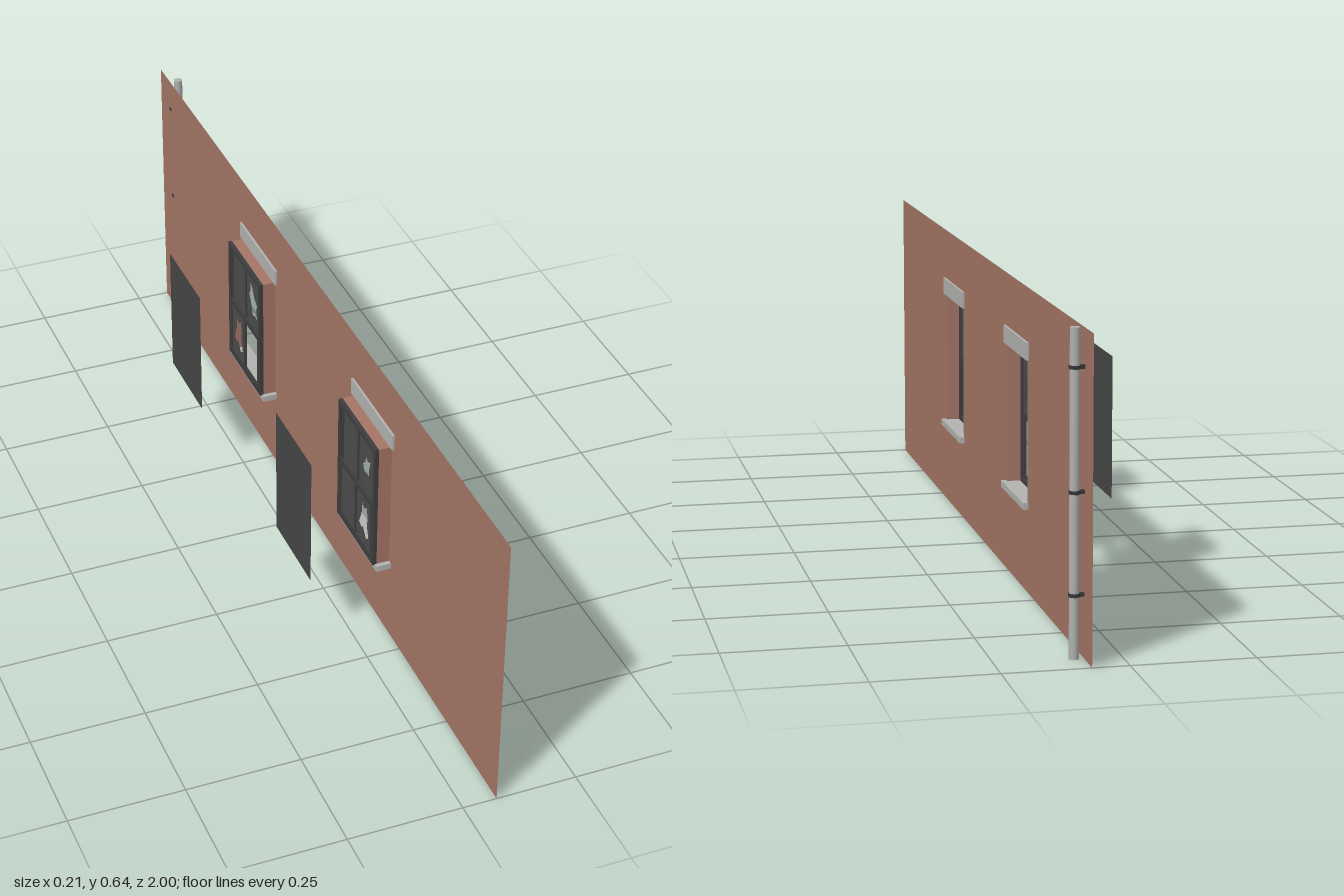
import * as THREE from 'three';

const mat = (name, color, side = THREE.FrontSide) => {
  const m = new THREE.MeshStandardMaterial({ color, side });
  m.name = name;
  return m;
};

export function createModel() {
  const brick = mat('brick', 0xa57566, THREE.DoubleSide);
  const stone = mat('stone', 0xb2b2b0);
  const metal = mat('pipe metal', 0xb0b0ae);
  const iron = mat('dark iron', 0x383838);
  const wood = mat('dark frame', 0x3e3e3e);
  const glass = mat('dirty glass', 0x4c4c4c, THREE.DoubleSide);
  const dark = mat('dark backing', 0x464646, THREE.DoubleSide);

  // Local frame: x runs along the wall, y up, z out of the wall; turned to face +x at the end.
  const facade = new THREE.Group();
  facade.name = 'facade';
  const WALL = 0.074, LOW = 0.19, HIGH = 0.49, HALF = 0.1, MID = 0.34;

  const add = (parent, name, geo, material, x = 0, y = 0, z = 0) => {
    const mesh = new THREE.Mesh(geo, material);
    mesh.name = name;
    mesh.position.set(x, y, z);
    parent.add(mesh);
    return mesh;
  };
  // Box given by its extents
  const block = (parent, name, material, x0, x1, y0, y1, z0, z1) =>
    add(parent, name, new THREE.BoxGeometry(x1 - x0, y1 - y0, z1 - z0), material,
      (x0 + x1) / 2, (y0 + y1) / 2, (z0 + z1) / 2);
  const outline = (pts, Type = THREE.Shape) => new Type(pts.map(p => new THREE.Vector2(...p)));
  const rect = (x0, x1, y0, y1) => [[x0, y0], [x1, y0], [x1, y1], [x0, y1]];

  // Wall sheet with two openings
  const wallShape = outline(rect(-1, 1, 0, 0.64));
  for (const x of [-0.335, 0.335])
    wallShape.holes.push(outline(rect(x - HALF, x + HALF, LOW, HIGH).reverse(), THREE.Path));
  add(facade, 'wall', new THREE.ShapeGeometry(wallShape), brick, 0, 0, WALL);

  // Jagged breaks, relative to the pane centre
  const small = [[-0.02, 0.022], [-0.006, 0.016], [0.004, 0.022], [0.008, 0.006], [0.02, -0.004],
    [0.012, -0.022], [-0.004, -0.016], [-0.014, -0.02], [-0.012, -0.002]];
  const figure = [[-0.014, 0.04], [-0.002, 0.03], [0.012, 0.038], [0.012, 0.012], [0.026, -0.022],
    [0.012, -0.028], [0.004, -0.022], [-0.012, -0.042], [-0.026, -0.034], [-0.016, -0.006], [-0.02, 0.016]];
  const shard = [[0.004, 0.034], [0.016, 0.044], [0.016, 0.022], [0.025, 0.012], [0.012, -0.012],
    [0.002, -0.038], [-0.01, -0.03], [-0.024, -0.034], [-0.018, -0.012], [-0.024, 0.004], [-0.008, 0.014]];

  // One sash: rails, stiles, a centre bar and two panes
  const sash = (parent, name, y0, y1, z, panes) => {
    const g = new THREE.Group();
    g.name = name;
    parent.add(g);
    const w = 0.092, s = 0.01, za = z - 0.0025, zb = z + 0.0025;
    for (const k of [-1, 1])
      block(g, 'stile', wood, Math.min(k * w, k * (w - s)), Math.max(k * w, k * (w - s)), y0, y1, za, zb);
    block(g, 'bottomRail', wood, -w, w, y0, y0 + 0.012, za, zb);
    block(g, 'topRail', wood, -w, w, y1 - 0.012, y1, za, zb);
    block(g, 'centreBar', wood, -0.004, 0.004, y0, y1, za, zb);
    panes.forEach((broken, i) => {
      if (broken === 'missing') return;
      const cx = (i ? 1 : -1) * 0.043, cy = (y0 + y1) / 2;
      const pane = outline(rect(-0.041, 0.041, y0 - cy + 0.01, y1 - cy - 0.01));
      if (broken) pane.holes.push(outline(broken, THREE.Path));
      add(g, 'pane', new THREE.ShapeGeometry(pane), glass, cx, cy, z);
    });
  };

  const makeWindow = (name, x, upper, lower) => {
    const g = new THREE.Group();
    g.name = name;
    g.position.x = x;
    facade.add(g);
    // Brick reveal
    const depth = WALL - 0.045, zc = WALL - depth / 2;
    for (const k of [-1, 1]) {
      add(g, 'revealSide', new THREE.PlaneGeometry(depth, HIGH - LOW), brick, k * HALF, MID, zc)
        .rotation.y = -k * Math.PI / 2;
      add(g, 'revealEnd', new THREE.PlaneGeometry(2 * HALF, depth), brick, 0, k > 0 ? HIGH : LOW, zc)
        .rotation.x = k * Math.PI / 2;
    }
    // Outer frame
    const frame = outline(rect(-HALF, HALF, LOW, HIGH));
    frame.holes.push(outline(rect(-0.09, 0.09, LOW + 0.01, HIGH - 0.01).reverse(), THREE.Path));
    add(g, 'windowFrame', new THREE.ExtrudeGeometry(frame, { depth: 0.009, bevelEnabled: false }),
      wood, 0, 0, 0.036);
    sash(g, 'upperSash', MID - 0.006, HIGH - 0.006, 0.0425, upper);
    sash(g, 'lowerSash', LOW + 0.006, MID + 0.006, 0.0385, lower);
    // Stone trim
    block(g, 'sill', stone, -0.11, 0.11, 0.178, 0.192, 0.041, 0.085);
    block(g, 'lintel', stone, -0.112, 0.112, HIGH, 0.527, 0.069, 0.079);
    // Dark sheet set back in the room
    add(g, 'backing', new THREE.PlaneGeometry(2 * HALF, HIGH - LOW), dark, 0, MID, -0.105);
  };
  makeWindow('frontWindow', -0.335, [small, null], [figure, null]);
  makeWindow('rearWindow', 0.335, [shard, null], ['missing', figure]);

  // Drainpipe with clamps
  const px = 0.932, pz = 0.0935;
  add(facade, 'drainpipe', new THREE.CylinderGeometry(0.01, 0.01, 0.642, 16), metal, px, 0.321, pz);
  for (const y of [0.126, 0.326, 0.566]) {
    add(facade, 'clampRing', new THREE.CylinderGeometry(0.0118, 0.0118, 0.007, 16), iron, px, y, pz);
    block(facade, 'clampArm', iron, px - 0.005, px + 0.005, y - 0.0035, y + 0.0035, 0.0725, 0.09);
    block(facade, 'clampLugs', iron, px - 0.015, px + 0.015, y - 0.003, y + 0.003, pz - 0.003, pz + 0.003);
  }

  facade.rotation.y = Math.PI / 2;
  const model = new THREE.Group();
  model.name = 'wallWithWindows';
  model.add(facade);
  return model;
}
